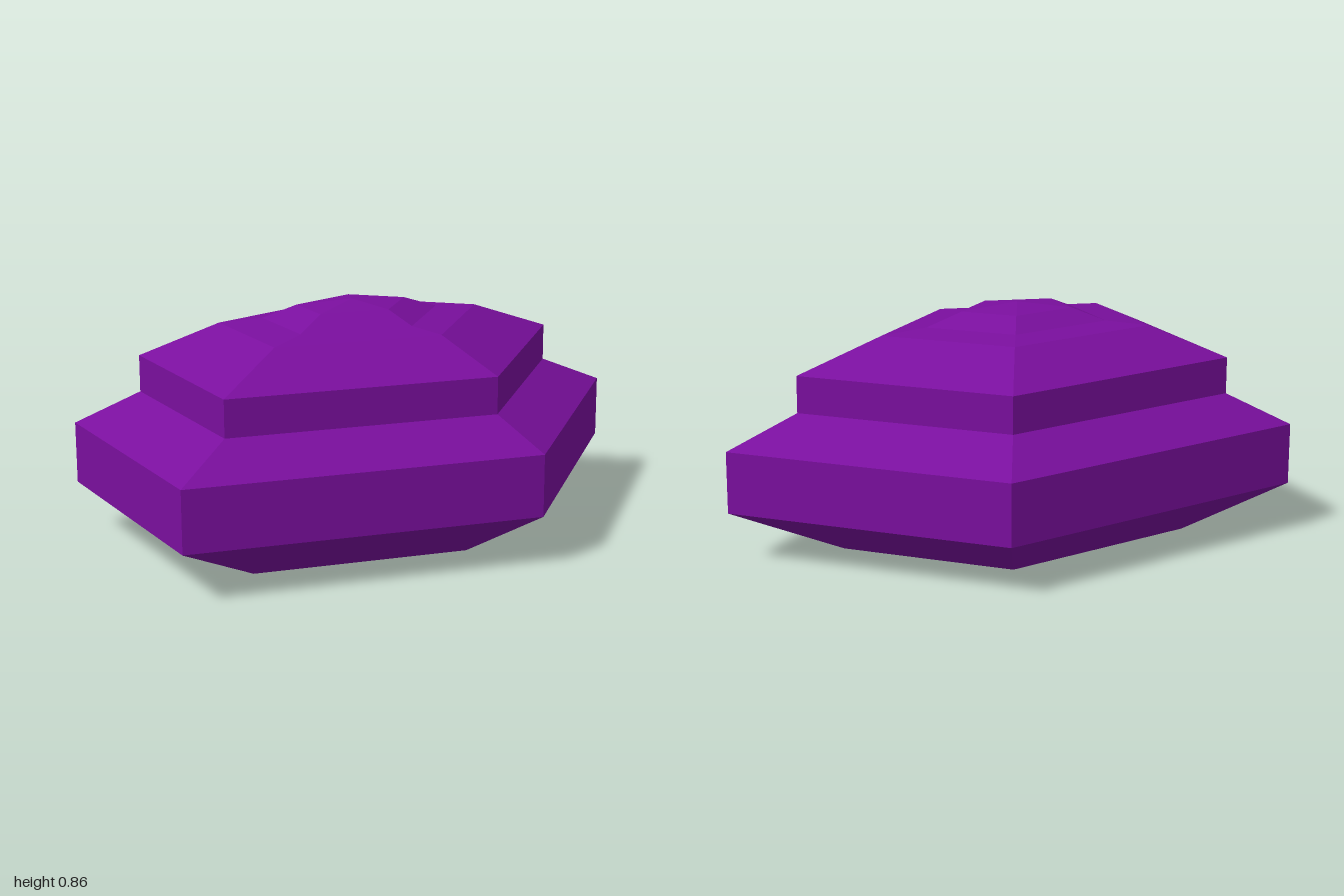
import * as THREE from 'three';

const SIDES = 5;
const DEPTH = 0.695;      // the pentagon is squashed along z
const CENTRE_X = -0.1055; // offset of the pentagon's axis

const material = new THREE.MeshStandardMaterial({ color: 0x7a0f9e, flatShading: true });

// One five-sided tier from a [radius, height] profile, bottom to top
function tier(name, profile) {
  const points = profile.map(([r, y]) => new THREE.Vector2(r, y));
  const geometry = new THREE.LatheGeometry(points, SIDES, Math.PI / 2)
    .toNonIndexed()
    .scale(1, 1, DEPTH)
    .translate(CENTRE_X, 0, 0);
  geometry.computeVertexNormals();
  const mesh = new THREE.Mesh(geometry, material);
  mesh.name = name;
  return mesh;
}

export function createModel() {
  const group = new THREE.Group();
  group.name = 'pentagonalTieredBody';
  group.add(
    // flat underside and flared lower slope
    tier('base', [[0, 0], [0.68, 0], [1.1055, 0.186]]),
    // widest upright band with its sloped shoulder
    tier('lowerTier', [[1.1055, 0.186], [1.1055, 0.41], [0.843, 0.523]]),
    // narrower upright band with its sloped roof
    tier('upperTier', [[0.843, 0.523], [0.843, 0.657], [0.525, 0.773]]),
    // stepped cap closing to a point
    tier('crown', [[0.525, 0.773], [0.355, 0.788], [0.218, 0.835], [0, 0.855]])
  );
  return group;
}
